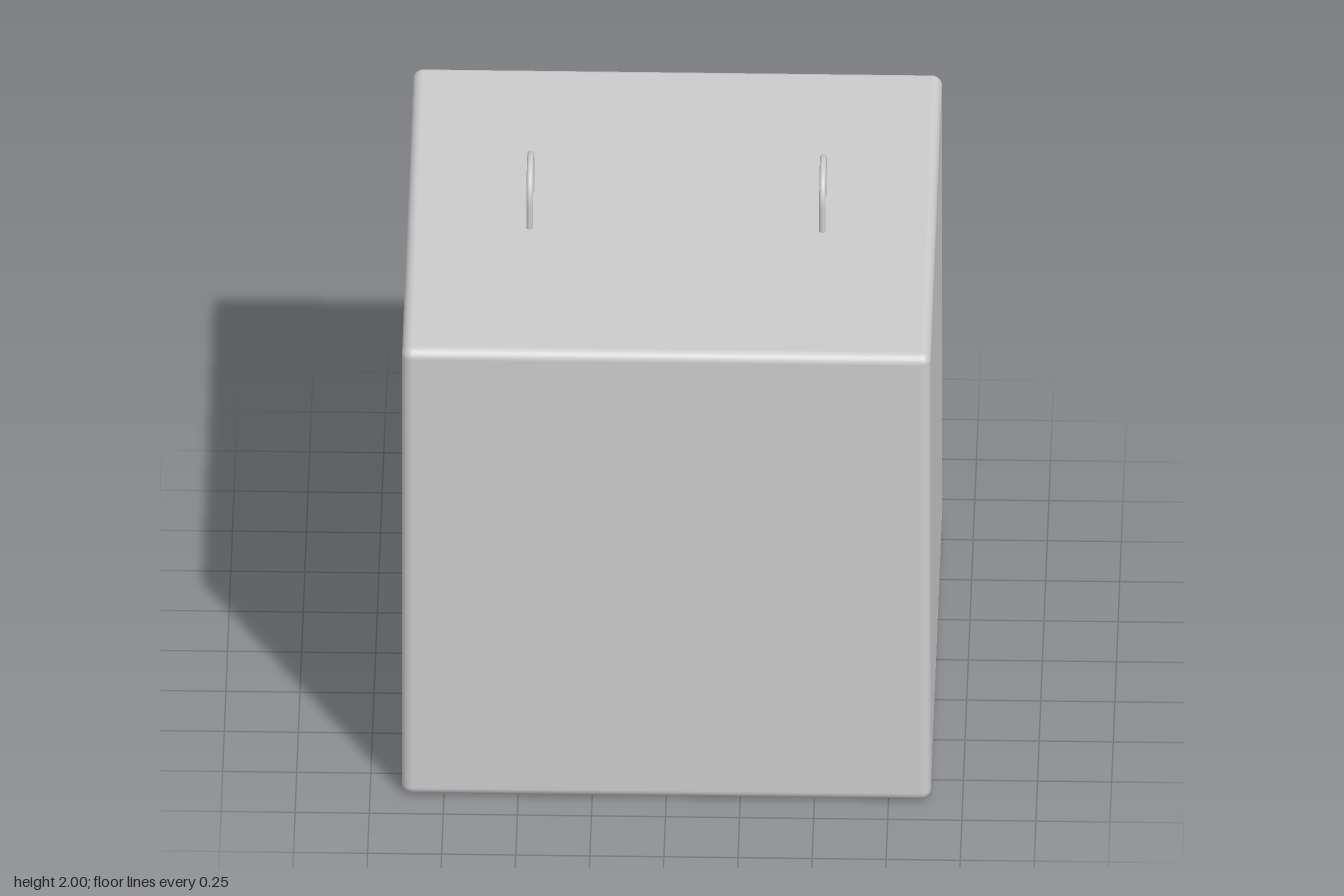
import * as THREE from 'three';
import { RoundedBoxGeometry } from 'three/addons/geometries/RoundedBoxGeometry.js';

const SIZE = 1.785;       // edge of the cube
const WIRE = 0.011;       // wire radius of the lifting loops
const BEND = 0.112;       // centreline radius of the loop's arch
const SPRING = 2 - WIRE - BEND; // height where the arch begins

// Centreline of a lifting loop: straight leg, half circle, straight leg
function loopPath() {
  const foot = SIZE - 0.04;
  const path = new THREE.CurvePath();
  const arch = [];
  for (let i = 0; i <= 24; i++) {
    const a = (i / 24) * Math.PI;
    arch.push(new THREE.Vector3(0, SPRING + BEND * Math.sin(a), BEND * Math.cos(a)));
  }
  path.add(new THREE.LineCurve3(new THREE.Vector3(0, foot, BEND), arch[0]));
  path.add(new THREE.CatmullRomCurve3(arch));
  path.add(new THREE.LineCurve3(arch[24], new THREE.Vector3(0, foot, -BEND)));
  return path;
}

export function createModel() {
  const group = new THREE.Group();
  const material = new THREE.MeshStandardMaterial({ color: 0xcccccc });

  // Solid block with softly rounded edges
  const block = new THREE.Mesh(new RoundedBoxGeometry(SIZE, SIZE, SIZE, 5, 0.035), material);
  block.name = 'block';
  block.position.y = SIZE / 2;
  group.add(block);

  // Two wire lifting loops set into the top face
  const loopGeometry = new THREE.TubeGeometry(loopPath(), 64, WIRE, 16, false);
  for (const [name, x] of [['rightLiftingLoop', -0.478], ['leftLiftingLoop', 0.51]]) {
    const loop = new THREE.Mesh(loopGeometry, material);
    loop.name = name;
    loop.position.x = x;
    group.add(loop);
  }
  return group;
}
